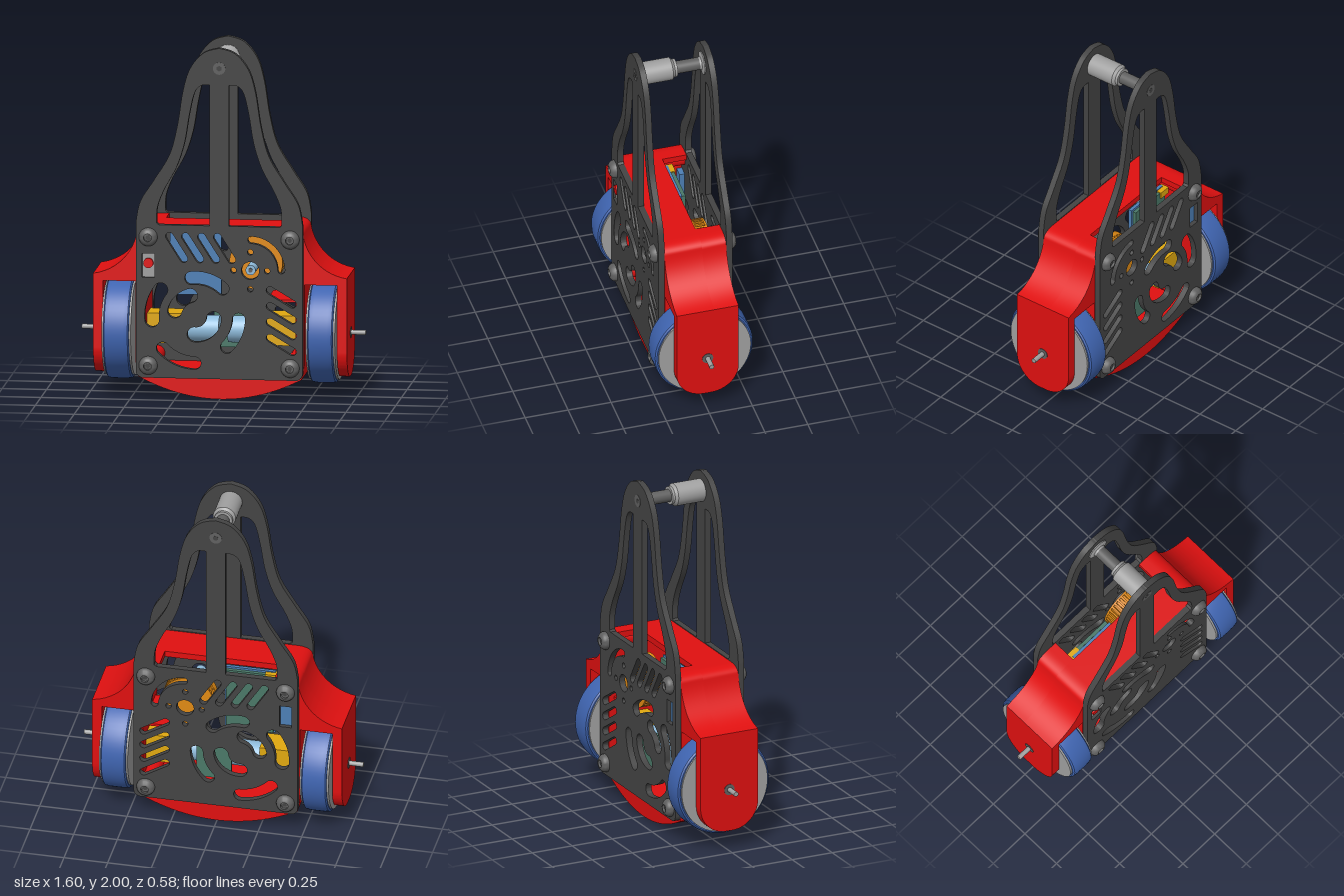
import * as THREE from 'three';
import { toCreasedNormals } from 'three/addons/utils/BufferGeometryUtils.js';

const mat = (color) => new THREE.MeshStandardMaterial({ color });
const RED = mat(0xe01010), DARK = mat(0x444444), BLUE = mat(0x3f64b0), GREY = mat(0xa0a0a0);
const STEEL = mat(0x606060), ORANGE = mat(0xe08a14), YELLOW = mat(0xe0a810);
const SKY = mat(0x8fbcdc), BOARD = mat(0x4d7fb5), GREEN = mat(0x4a7868);
const V = (x, y) => new THREE.Vector2(x, y);
const PI = Math.PI, MOTOR = [0.175, 0.74], SCREWS = [[0.4, 0.92], [-0.4, 0.92], [0.4, 0.19], [-0.4, 0.19]];

export function createModel() {
  const model = new THREE.Group();

  const add = (name, geo, material, x = 0, y = 0, z = 0) => {
    const m = new THREE.Mesh(geo, material);
    m.name = name;
    m.position.set(x, y, z);
    model.add(m);
    return m;
  };
  const extrude = (shape, depth) => toCreasedNormals(
    new THREE.ExtrudeGeometry(shape, { depth, bevelEnabled: false, curveSegments: 16 }), 0.5);
  const box = (name, material, w, h, d, x, y, z) => add(name, new THREE.BoxGeometry(w, h, d), material, x, y, z);
  // round bars along z or x
  const barZ = (name, material, r, d, x, y, z, n = 32) =>
    add(name, new THREE.CylinderGeometry(r, r, d, n).rotateX(PI / 2), material, x, y, z);
  const barX = (name, material, r, d, x, y, z, n = 40) =>
    add(name, new THREE.CylinderGeometry(r, r, d, n).rotateZ(PI / 2), material, x, y, z);
  // lathe profile [radius, distance] turned to run along z
  const latheZ = (profile, n = 32) => toCreasedNormals(
    new THREE.LatheGeometry(profile.map((p) => V(...p)), n).rotateX(PI / 2), 0.6);

  // Hole helpers: curved slot, straight slot, circle
  const arcSlot = (cx, cy, R, d0, d1, r) => {
    const a = d0 * PI / 180, b = d1 * PI / 180;
    return new THREE.Path()
      .absarc(cx, cy, R + r, a, b, false)
      .absarc(cx + R * Math.cos(b), cy + R * Math.sin(b), r, b, b + PI, false)
      .absarc(cx, cy, R - r, b, a, true)
      .absarc(cx + R * Math.cos(a), cy + R * Math.sin(a), r, a + PI, a + 2 * PI, false);
  };
  const slot = (x0, y0, x1, y1, r) => {
    const t = Math.atan2(y1 - y0, x1 - x0);
    return new THREE.Path().absarc(x1, y1, r, t - PI / 2, t + PI / 2, false)
      .absarc(x0, y0, r, t + PI / 2, t + 1.5 * PI, false);
  };
  const circle = (x, y, r) => new THREE.Path().absarc(x, y, r, 0, 2 * PI, false);
  const mirror = (pts) => pts.map((p) => V(-p.x, p.y)).reverse();

  // Side plates: tall rounded handle above a slotted square
  const edge = new THREE.SplineCurve([[0.47, 1.0], [0.445, 1.12], [0.37, 1.24], [0.28, 1.39], [0.235, 1.56],
    [0.205, 1.75], [0.165, 1.88], [0.09, 1.97], [0, 2]].map((p) => V(...p))).getPoints(48);
  const corner = new THREE.Path().absarc(0.43, 0.16, 0.04, -PI / 2, 0, false).getPoints(8);
  const right = [...corner, ...edge];
  const plate = new THREE.Shape([...right, ...mirror(right).slice(1)]);
  const opening = [V(0.055, 0.99), V(0.34, 0.99), ...new THREE.SplineCurve(
    [[0.352, 1.0], [0.348, 1.09], [0.31, 1.19], [0.24, 1.32], [0.195, 1.46], [0.168, 1.62], [0.14, 1.74],
      [0.105, 1.785], [0.055, 1.79]].map((p) => V(...p))).getPoints(40)];
  plate.holes.push(new THREE.Path(opening), new THREE.Path(mirror(opening)));
  for (let k = 0; k < 4; k++) {
    plate.holes.push(slot(-0.28 + 0.09 * k, 0.925, -0.2 + 0.09 * k, 0.8, 0.022));
    plate.holes.push(slot(0.287, 0.63 - 0.09 * k, 0.413, 0.555 - 0.09 * k, 0.022));
    const a = k * PI / 2;
    plate.holes.push(circle(MOTOR[0] + 0.095 * Math.cos(a), MOTOR[1] + 0.105 * Math.sin(a), 0.016));
  }
  const C = [-0.13, 0.47];
  plate.holes.push(
    circle(...MOTOR, 0.05), arcSlot(...MOTOR, 0.175, 2, 88, 0.02),
    arcSlot(...C, 0.25, 143, 185, 0.04), arcSlot(...C, 0.262, 224, 268, 0.036),
    arcSlot(...C, 0.222, 48, 97, 0.037), arcSlot(...C, 0.24, -44, -2, 0.036),
    arcSlot(...C, 0.125, 105, 165, 0.04), arcSlot(...C, 0.1, -95, -5, 0.042),
    new THREE.Path([V(-0.435, 0.69), V(-0.365, 0.69), V(-0.365, 0.825), V(-0.435, 0.825)]));
  const plateGeo = extrude(plate, 0.035);
  add('frontPlate', plateGeo, DARK, 0, 0, 0.18);
  add('backPlate', plateGeo, DARK, 0, 0, -0.215);

  // Red body: hollow frame, its top open toward the back
  const bottom = new THREE.QuadraticBezierCurve(V(-0.46, 0.12), V(0, -0.12), V(0.46, 0.12)).getPoints(32);
  const flank = [V(0.475, 0.2), V(0.475, 0.66), V(0.715, 0.66),
    ...new THREE.CubicBezierCurve(V(0.715, 0.7), V(0.58, 0.72), V(0.49, 0.82), V(0.468, 0.94)).getPoints(16),
    ...new THREE.QuadraticBezierCurve(V(0.466, 0.95), V(0.45, 0.985), V(0.38, 0.985)).getPoints(8)];
  const closed = new THREE.Shape([...bottom, ...flank, ...mirror(flank)]);
  closed.holes.push(new THREE.Path([V(-0.425, 0.15), V(0.425, 0.15), V(0.425, 0.9), V(0.36, 0.95),
    V(-0.36, 0.95), V(-0.425, 0.9)]));
  const lip = [V(0.33, 0.985), V(0.33, 0.95), V(0.36, 0.95), V(0.425, 0.9), V(0.425, 0.15)];
  const open = new THREE.Shape([...bottom, ...flank, ...lip, ...mirror(lip), ...mirror(flank)]);
  add('bodyFront', extrude(closed, 0.22), RED, 0, 0, -0.04);
  add('bodyBack', extrude(open, 0.14), RED, 0, 0, -0.18);
  box('innerShelf', RED, 0.17, 0.015, 0.3, 0.345, 0.56, 0);

  // Outer wheel guards, round at the lower corners
  const guard = new THREE.Shape().moveTo(0.18, 0.66).lineTo(-0.18, 0.66).lineTo(-0.18, 0.28)
    .absarc(-0.02, 0.28, 0.16, PI, 1.5 * PI, false).absarc(0.02, 0.28, 0.16, 1.5 * PI, 2 * PI, false);
  const guardGeo = extrude(guard, 0.055).rotateY(PI / 2);

  // Wheels, axles and drive motors on each side
  const tireGeo = toCreasedNormals(new THREE.LatheGeometry([[0.255, -0.072], [0.275, -0.072], [0.284, -0.065],
    [0.288, -0.04], [0.288, 0.04], [0.284, 0.065], [0.275, 0.072], [0.255, 0.072]].map((p) => V(...p)), 64)
    .rotateZ(PI / 2), 0.6);
  for (const s of [1, -1]) {
    const side = s > 0 ? 'left' : 'right';
    add(side + 'WheelGuard', guardGeo, RED, s > 0 ? 0.66 : -0.715);
    add(side + 'Tire', tireGeo, BLUE, s * 0.575, 0.368);
    barX(side + 'Hub', GREY, 0.268, 0.165, s * 0.575, 0.368, 0, 64);
    barX(side + 'Axle', GREY, 0.014, 0.36, s * 0.62, 0.365, 0, 16);
    barX(side + 'Bushing', STEEL, 0.032, 0.006, s * 0.715, 0.365, 0, 24);
    barX(side + 'HubCollar', STEEL, 0.035, 0.05, s * 0.475, 0.365, 0, 24);
    box(side + 'GearBox', YELLOW, 0.2, 0.17, 0.16, s * 0.325, 0.375, -0.02);
    barX(side + 'DriveMotor', SKY, 0.075, 0.2, s * 0.125, 0.365, -0.02);
  }

  // Button-head screws, with posts between the plates
  const headGeo = latheZ([[0.012, 0.022], [0.022, 0.022], [0.022, 0.036], [0.034, 0.033], [0.046, 0.022],
    [0.052, 0.008], [0.052, 0]].reverse().map(([r, h]) => [r, h]));
  for (const [x, y] of SCREWS) {
    barZ('cornerPost', RED, 0.045, 0.36, x, y, 0);
    for (const s of [1, -1]) {
      const head = add('screwHead', headGeo, STEEL, x, y, s * 0.215);
      if (s < 0) head.rotation.y = PI;
      barZ('screwSocket', DARK, 0.024, 0.022, x, y, s * 0.226, 6);
    }
  }

  // Spacer joining the handle tops
  const sy = 1.885;
  add('handleSpacer', latheZ([[0, -0.178], [0.066, -0.178], [0.066, -0.172], [0.04, -0.165], [0.034, -0.155],
    [0.034, -0.02], [0.052, -0.02], [0.052, -0.005], [0.065, 0.01], [0.065, 0.18], [0, 0.18]]), GREY, 0, sy);
  barZ('spacerNeck', STEEL, 0.036, 0.135, 0, sy, -0.087);
  for (const s of [1, -1]) {
    barZ('handleScrew', STEEL, 0.035, 0.01, 0, sy, s * 0.212);
    barZ('handleScrewSocket', DARK, 0.016, 0.004, 0, sy, s * 0.216, 6);
  }

  // Ribbed motor behind the round plate hole
  barZ('motorBase', ORANGE, 0.15, 0.04, ...MOTOR, -0.06, 48);
  barZ('motorCore', ORANGE, 0.138, 0.06, ...MOTOR, -0.11, 48);
  barZ('motorCap', ORANGE, 0.15, 0.01, ...MOTOR, -0.142, 48);
  for (let i = 0; i < 36; i++) {
    const a = i * PI / 18;
    box('motorRib', ORANGE, 0.016, 0.012, 0.06, MOTOR[0] + 0.142 * Math.cos(a), MOTOR[1] + 0.142 * Math.sin(a), -0.11)
      .rotation.z = a;
  }
  barZ('motorShaft', SKY, 0.028, 0.24, ...MOTOR, 0.08);
  barZ('motorShaftTip', STEEL, 0.012, 0.01, ...MOTOR, 0.202);

  // Electronics
  box('controlBoard', BOARD, 0.29, 0.4, 0.02, -0.165, 0.75, -0.055);
  box('controlBoardBack', GREEN, 0.27, 0.38, 0.02, -0.165, 0.75, -0.078);
  box('boardConnector', YELLOW, 0.07, 0.04, 0.05, -0.29, 0.925, -0.07);
  box('lowerBoard', GREEN, 0.2, 0.25, 0.015, 0.03, 0.37, -0.12);
  box('switchHousing', GREY, 0.07, 0.135, 0.06, -0.4, 0.757, 0.17);
  barZ('switchButton', RED, 0.028, 0.02, -0.4, 0.77, 0.205);
  box('switchBack', BOARD, 0.07, 0.135, 0.04, -0.4, 0.757, -0.17);

  return model;
}
